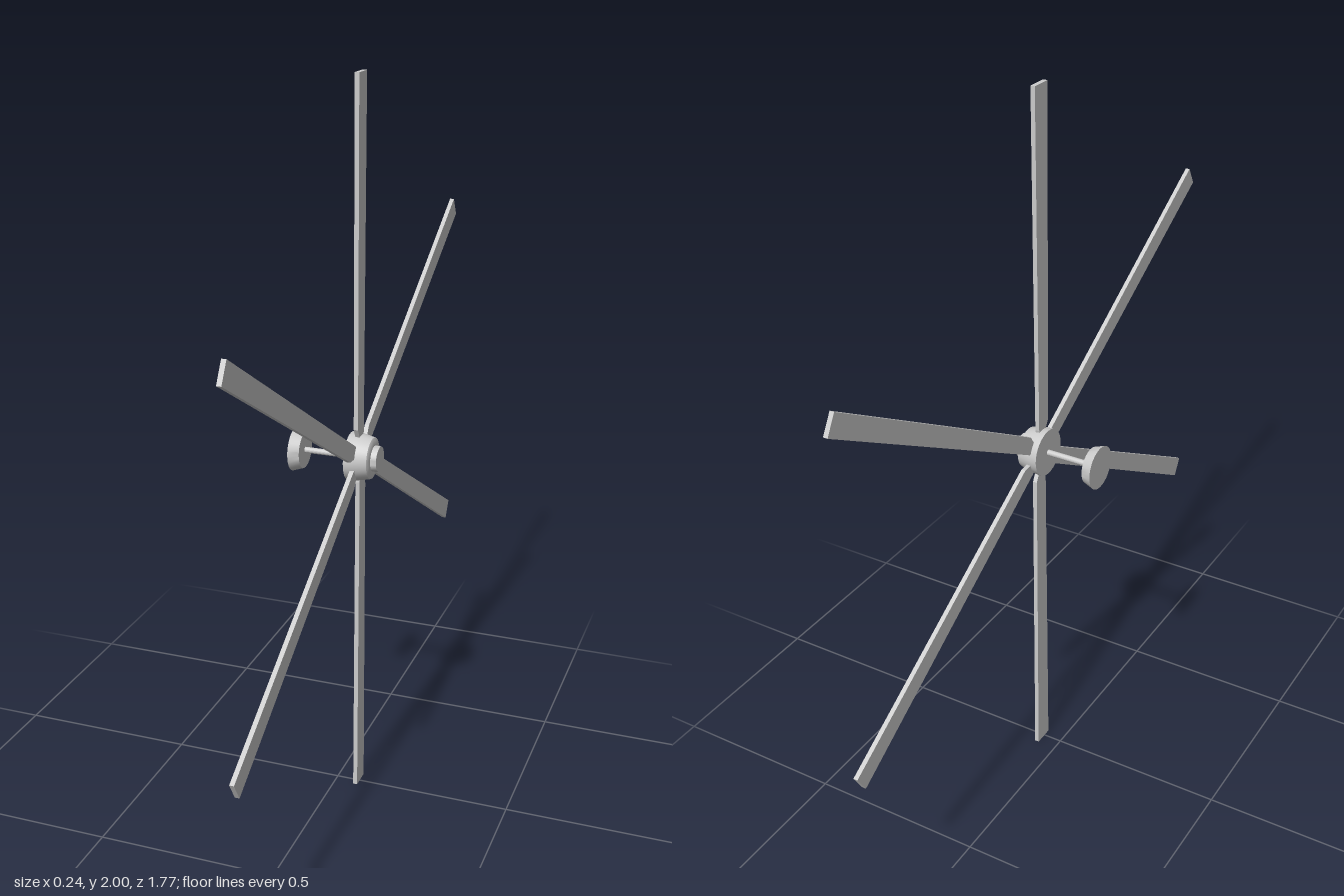
import * as THREE from 'three';
import { toCreasedNormals } from 'three/addons/utils/BufferGeometryUtils.js';

const material = new THREE.MeshStandardMaterial({ color: 0xcccccc });

// Turned part around the x axis; profile is [radius, x] from left to right.
function turned(name, profile) {
  const points = profile.map(([r, x]) => new THREE.Vector2(r, x));
  const geometry = new THREE.LatheGeometry(points, 32);
  geometry.rotateZ(-Math.PI / 2);
  const mesh = new THREE.Mesh(toCreasedNormals(geometry, 0.5), material);
  mesh.name = name;
  return mesh;
}

// Long flat blade, slightly wider at the tip, with a narrowed root.
function bladeGeometry() {
  const outline = [
    [-0.012, 0.05], [0.012, 0.05], [0.016, 0.068], [0.023, 1],
    [-0.035, 1], [-0.031, 0.085],
  ].map(([x, y]) => new THREE.Vector2(x, y));
  const geometry = new THREE.ExtrudeGeometry(new THREE.Shape(outline), {
    depth: 0.012, bevelEnabled: false,
  });
  geometry.rotateY(Math.PI / 2);
  geometry.translate(0.055, 0, 0);
  return geometry;
}

export function createModel() {
  const fan = new THREE.Group();
  fan.name = 'fan';

  const rotor = new THREE.Group();
  rotor.name = 'rotor';
  rotor.position.y = 1;
  fan.add(rotor);

  // Mounting cup, rod and motor housing along the axis
  rotor.add(turned('mountingCup', [
    [0, -0.122], [0.06, -0.122], [0.05, -0.093], [0, -0.093],
  ]));
  rotor.add(turned('rod', [
    [0, -0.095], [0.008, -0.095], [0.008, 0.04], [0, 0.04],
  ]));
  rotor.add(turned('motorHousing', [
    [0, 0.037], [0.066, 0.037], [0.064, 0.062], [0.056, 0.098],
    [0.048, 0.102], [0.035, 0.102], [0.034, 0.118], [0, 0.118],
  ]));

  // Six blades around the housing
  const geometry = bladeGeometry();
  for (let i = 0; i < 6; i++) {
    const blade = new THREE.Mesh(geometry, material);
    blade.name = `blade${i + 1}`;
    blade.rotation.x = (i * Math.PI) / 3;
    rotor.add(blade);
  }
  return fan;
}
